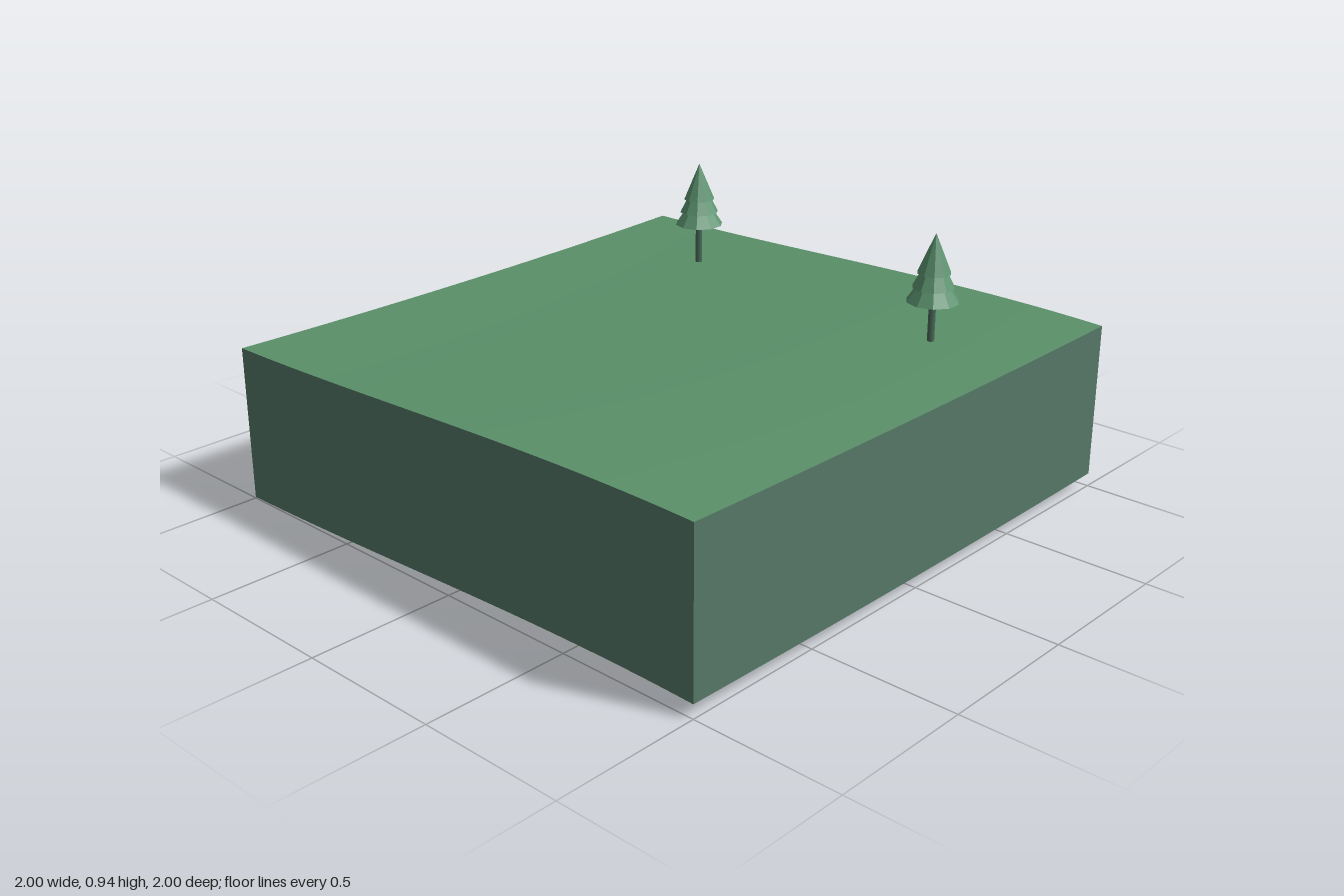
import * as THREE from 'three';

const DEPTH = 0.535; // height of the side walls
const SEGMENTS = 32;

// Gently rolling ground height
function height(x, z) {
  return 0.563 + 0.036 * x - 0.005 * x * x - 0.018 * x ** 3
    + z * z * (0.016 - 0.0025 * x - 0.0055 * x * x)
    - 0.0055 * z * (1 - x);
}

function material(name, color, side = THREE.FrontSide) {
  const m = new THREE.MeshStandardMaterial({ color, side });
  m.name = name;
  return m;
}

function part(name, geometry, mat) {
  const mesh = new THREE.Mesh(geometry, mat);
  mesh.name = name;
  return mesh;
}

export function createModel() {
  const grass = material('grass green', 0x5a9069, THREE.DoubleSide);
  const earth = material('grey green earth', 0x577968, THREE.DoubleSide);
  const foliage = material('foliage green', 0x5c9470);
  const bark = material('dark green bark', 0x4a6a59);
  foliage.flatShading = true;

  const model = new THREE.Group();
  model.name = 'terrainTile';

  // Rolling ground surface
  const ground = new THREE.PlaneGeometry(2, 2, SEGMENTS, SEGMENTS).rotateX(-Math.PI / 2);
  const gp = ground.attributes.position;
  for (let i = 0; i < gp.count; i++) gp.setY(i, height(gp.getX(i), gp.getZ(i)));
  ground.computeVertexNormals();
  model.add(part('ground', ground, grass));

  // Four walls whose upper and lower edges follow the ground; open underneath
  ['frontWall', 'leftWall', 'backWall', 'rightWall'].forEach((name, k) => {
    const wall = new THREE.PlaneGeometry(2, 1, SEGMENTS, 1);
    wall.translate(0, 0, 1).rotateY(k * Math.PI / 2);
    const wp = wall.attributes.position;
    for (let i = 0; i < wp.count; i++) {
      const h = height(wp.getX(i), wp.getZ(i));
      wp.setY(i, wp.getY(i) > 0 ? h : h - DEPTH);
    }
    model.add(part(name, wall, earth));
  });

  // Conifers: a thin trunk and three stacked cones [radius, base, tip]
  const tiers = [[0.087, 0.135, 0.265], [0.07, 0.182, 0.315], [0.056, 0.23, 0.362]];
  for (const [x, y, z] of [[-0.5, 0.57, -0.667], [0.665, 0.584, -0.5]]) {
    const tree = new THREE.Group();
    tree.name = 'tree';
    tree.position.set(x, y, z);
    const trunk = part('trunk', new THREE.CylinderGeometry(0.012, 0.012, 0.17, 8), bark);
    trunk.position.y = 0.065;
    tree.add(trunk);
    for (const [radius, base, tip] of tiers) {
      const cone = part('foliageTier', new THREE.ConeGeometry(radius, tip - base, 10), foliage);
      cone.position.y = (base + tip) / 2;
      tree.add(cone);
    }
    model.add(tree);
  }

  return model;
}
